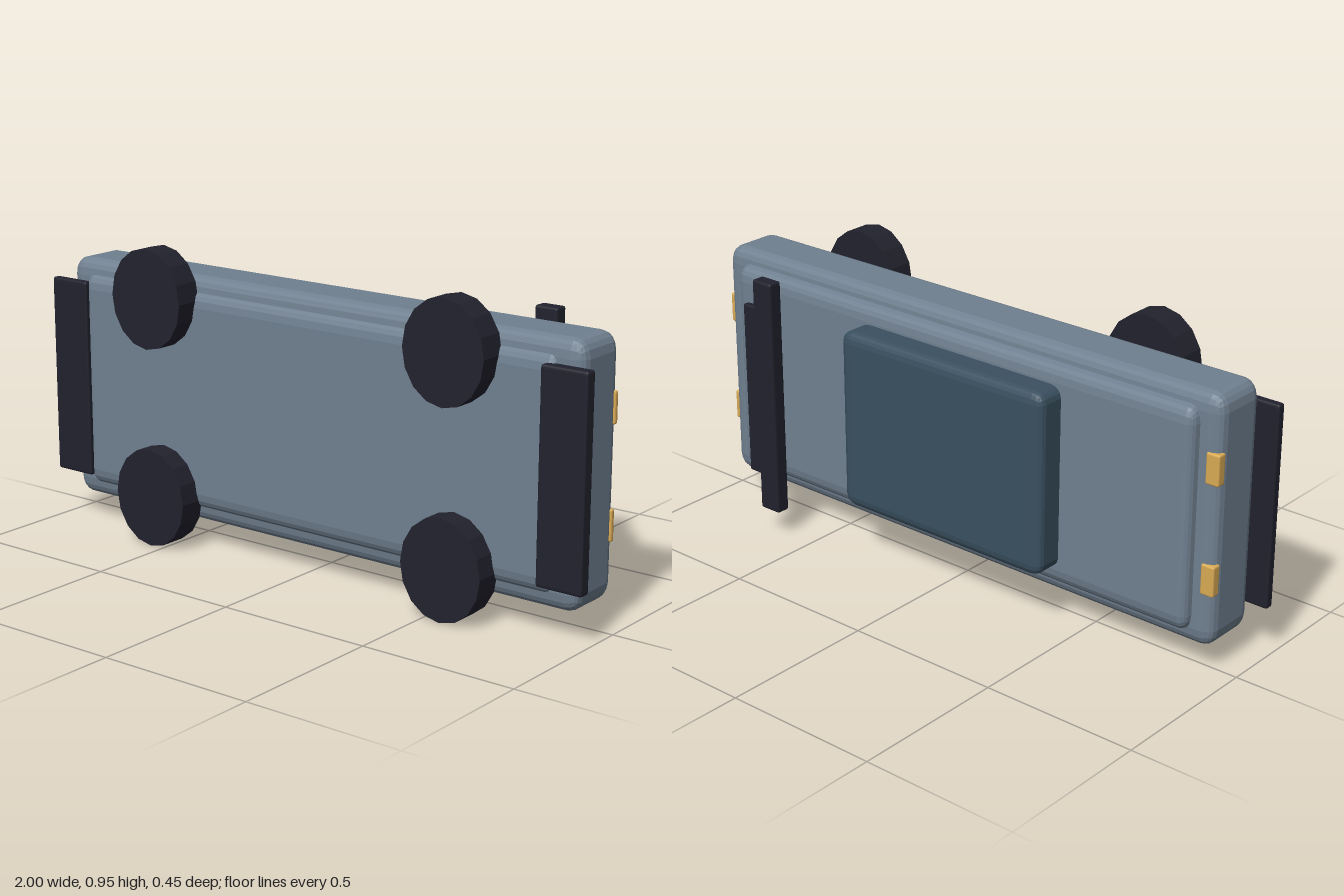
import * as THREE from 'three';
import { RoundedBoxGeometry } from 'three/addons/geometries/RoundedBoxGeometry.js';

const paint = (name, color) => {
  const m = new THREE.MeshStandardMaterial({ color, flatShading: true });
  m.name = name;
  return m;
};

export function createModel() {
  const group = new THREE.Group();
  const body = paint('slate body', 0x708090);
  const glass = paint('cabin blue', 0x3a5060);
  const dark = paint('dark trim', 0x22222e);
  const amber = paint('amber lamp', 0xdaab55);

  // Bevelled block between [min, max] limits, with its own bevel size per axis
  function block(name, material, [x0, x1], [y0, y1], [z0, z1], [rx, ry, rz]) {
    const geo = new RoundedBoxGeometry((x1 - x0) / rx, (y1 - y0) / ry, (z1 - z0) / rz, 2, 1);
    geo.scale(rx, ry, rz);
    const mesh = new THREE.Mesh(geo, material);
    mesh.position.set((x0 + x1) / 2, (y0 + y1) / 2, (z0 + z1) / 2);
    mesh.name = name;
    group.add(mesh);
  }

  // Car body lying on its side: roof towards -z, wheels towards +z
  block('body', body, [-0.943, 0.962], [0.085, 0.865], [-0.056, 0.138], [0.045, 0.055, 0.035]);
  block('innerBody', body, [-0.875, 0.89], [0.13, 0.822], [-0.09, 0.156], [0.03, 0.05, 0.035]);
  block('cabin', glass, [-0.422, 0.355], [0.187, 0.765], [-0.181, -0.05], [0.04, 0.035, 0.025]);

  // Splitter and rear diffuser
  block('frontSplitter', dark, [-1, -0.855], [0.16, 0.795], [0.139, 0.167], [0.006, 0.01, 0.006]);
  block('rearDiffuser', dark, [0.85, 1], [0.16, 0.795], [0.137, 0.176], [0.006, 0.01, 0.006]);

  // Two-plane rear wing
  block('wing', dark, [0.6, 0.677], [0.088, 0.862], [-0.225, -0.178], [0.006, 0.008, 0.008]);
  block('wingFlap', dark, [0.64, 0.745], [0.192, 0.76], [-0.202, -0.178], [0.006, 0.006, 0.006]);

  // Lamps at both ends
  for (const y of [0.307, 0.648]) {
    block('headlamp', amber, [-0.945, -0.9], [y - 0.048, y + 0.048], [-0.06, -0.028], [0.006, 0.006, 0.006]);
    block('tailLamp', amber, [0.94, 0.967], [y - 0.048, y + 0.048], [-0.043, -0.027], [0.005, 0.006, 0.005]);
  }

  // Slightly oval wheels
  const wheelGeo = new THREE.CylinderGeometry(1, 1, 0.088, 16);
  wheelGeo.rotateX(Math.PI / 2);
  wheelGeo.scale(0.138, 0.157, 1);
  for (const x of [-0.546, 0.562]) {
    for (const y of [0.158, 0.791]) {
      const wheel = new THREE.Mesh(wheelGeo, dark);
      wheel.position.set(x, y, 0.181);
      wheel.name = 'wheel';
      group.add(wheel);
    }
  }
  return group;
}
